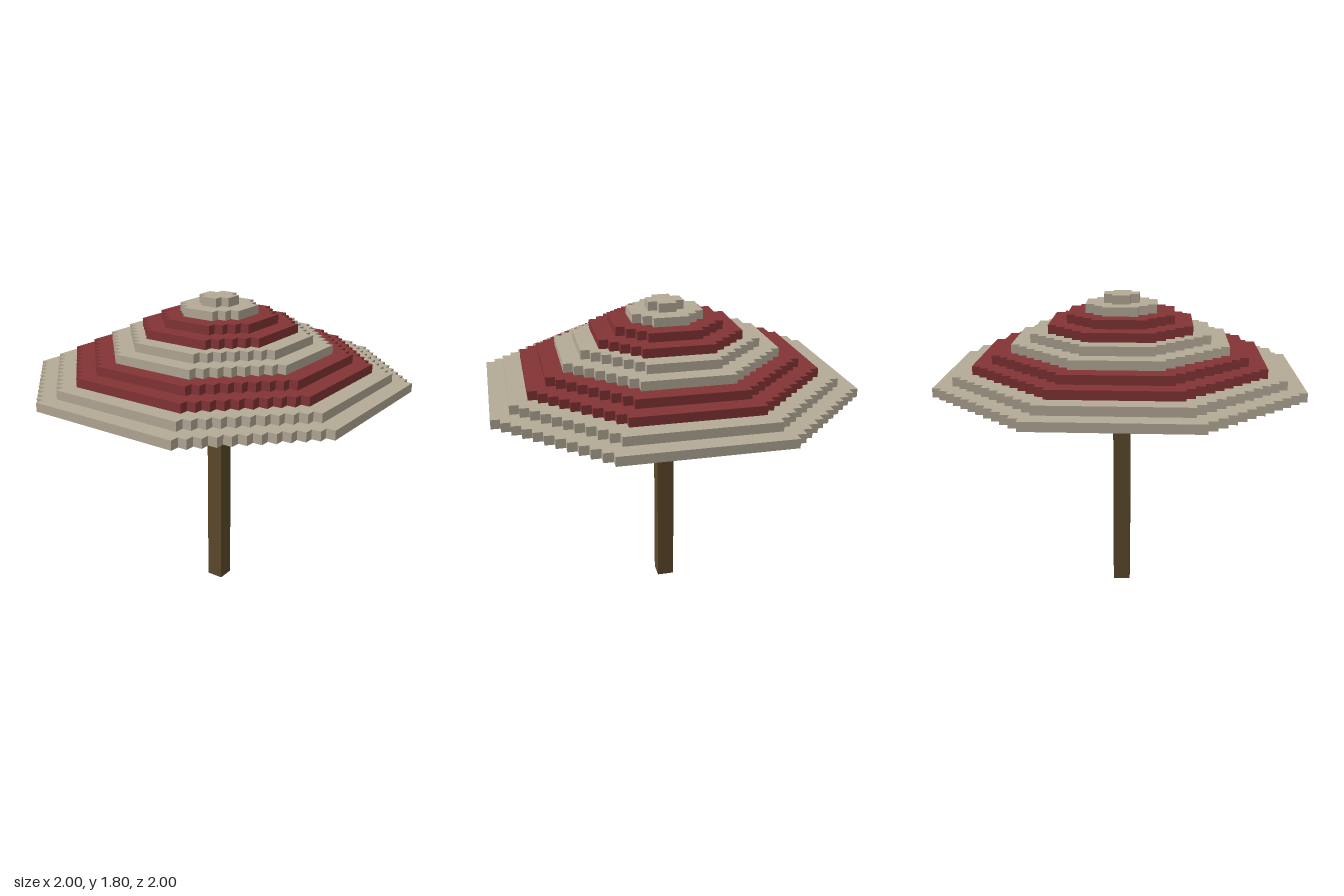
import * as THREE from 'three';

const STEP = 0.05;

// Octagon of half-width r whose diagonal sides are staircases of small square steps
function steppedOctagon(r) {
  const flat = Math.max(STEP, Math.floor((r * Math.SQRT2 + 0.04) / STEP + 1e-6) * STEP - r);
  const f = Math.min(flat, r);
  const steps = Math.round((r - f) / STEP);
  const corner = [];
  for (let i = 0; i <= steps; i++) {
    corner.push([r - i * STEP, f + i * STEP]);
    if (i < steps) corner.push([r - (i + 1) * STEP, f + i * STEP]);
  }
  const points = [];
  for (let q = 0; q < 4; q++) {
    for (const [x, y] of corner) {
      const p = [[x, y], [-y, x], [-x, -y], [y, -x]][q];
      points.push(new THREE.Vector2(p[0], p[1]));
    }
  }
  return points;
}

export function createModel() {
  const material = (name, color) => {
    const m = new THREE.MeshStandardMaterial({ color });
    m.name = name;
    return m;
  };
  const cream = material('cream cloth', 0xb5aa97);
  const red = material('red cloth', 0x843435);
  const wood = material('dark wood', 0x5c4a2c);

  const model = new THREE.Group();
  model.name = 'parasol';

  // Canopy: ten stacked layers, the lower six hollowed out beneath
  const canopy = new THREE.Group();
  canopy.name = 'canopy';
  const innerRadii = [0.8, 0.7, 0.55, 0.4, 0.25, 0.1];
  for (let i = 0; i < 10; i++) {
    const shape = new THREE.Shape(steppedOctagon((10 - i) / 10));
    if (i < innerRadii.length) {
      shape.holes.push(new THREE.Path(steppedOctagon(innerRadii[i])));
    }
    const geometry = new THREE.ExtrudeGeometry(shape, { depth: STEP, bevelEnabled: false });
    geometry.rotateX(-Math.PI / 2);
    // Colours alternate every two layers
    const layer = new THREE.Mesh(geometry, Math.floor(i / 2) % 2 ? red : cream);
    layer.name = `canopyLayer${i + 1}`;
    layer.position.y = 1.3 + i * STEP;
    canopy.add(layer);
  }
  model.add(canopy);

  // Square pole reaching up into the canopy
  const pole = new THREE.Mesh(new THREE.BoxGeometry(0.1, 1.6, 0.1), wood);
  pole.name = 'pole';
  pole.position.y = 0.8;
  model.add(pole);

  return model;
}
